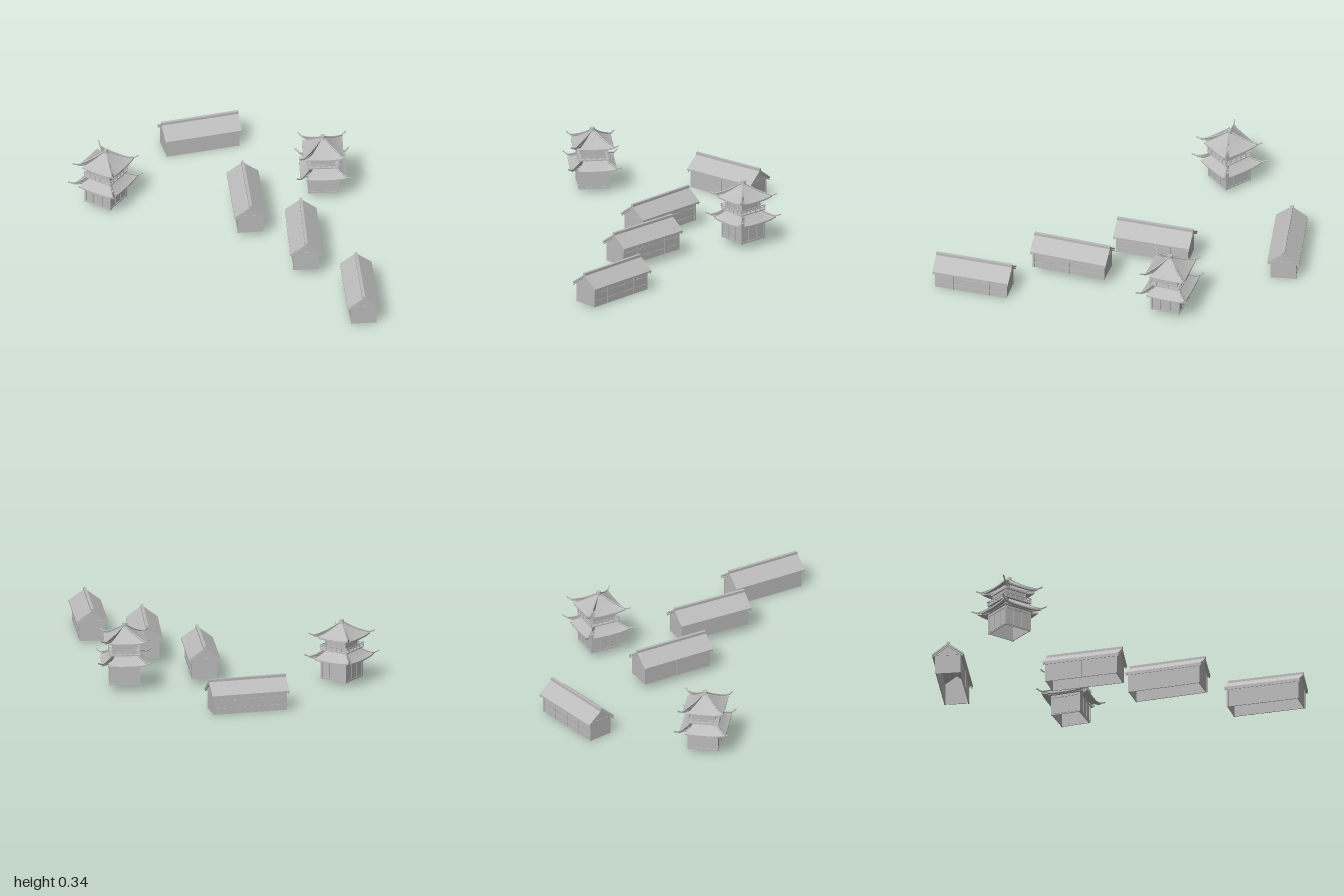
import * as THREE from 'three';

const stone = new THREE.MeshStandardMaterial({ color: 0xbcbcbc, side: THREE.DoubleSide, flatShading: true });
stone.name = 'plain grey';

function add(parent, name, geometry, x = 0, y = 0, z = 0) {
  const m = new THREE.Mesh(geometry, stone);
  m.name = name;
  m.position.set(x, y, z);
  parent.add(m);
  return m;
}
const box = (p, name, w, h, d, x, y, z) => add(p, name, new THREE.BoxGeometry(w, h, d), x, y, z);

function extrude(points, depth) {
  const shape = new THREE.Shape(points.map(([x, y]) => new THREE.Vector2(x, y)));
  return new THREE.ExtrudeGeometry(shape, { depth, bevelEnabled: false }).translate(0, 0, -depth / 2);
}

// Long gabled hall, running along z, with an open underside
function createHall(length) {
  const g = new THREE.Group();
  const L = length - 0.025, w = 0.065, wallTop = 0.112;
  for (const s of [-1, 1]) {
    box(g, 'longWall', 0.005, wallTop, L, s * (w - 0.0025), wallTop / 2, 0);
    add(g, 'gableWall', extrude([[-w, 0], [w, 0], [w, wallTop], [0, 0.16], [-w, wallTop]], 0.005), 0, 0, s * (L / 2 - 0.0025));
    box(g, 'wallPlate', 0.006, 0.008, L, s * w, 0.1, 0);
    box(g, 'gableBeam', 2 * w, 0.006, 0.004, 0, 0.104, s * L / 2);
    for (const e of [-1, 1]) box(g, 'cornerPost', 0.008, wallTop - 0.004, 0.008, s * (w - 0.002), wallTop / 2 - 0.002, e * (L / 2 - 0.002));
    // bargeboards following the roof slope
    add(g, 'bargeboard', extrude([[-0.08, 0.096], [0, 0.156], [0.08, 0.096], [0.08, 0.088], [0, 0.147], [-0.08, 0.088]], 0.005), 0, 0, s * (length / 2 - 0.004));
  }
  // framed bays along one side
  for (const f of [-0.25, 0, 0.25]) box(g, 'bayPost', 0.005, 0.1, 0.006, w, 0.05, f * L);
  box(g, 'sill', 0.005, 0.005, L, w, 0.03, 0);
  box(g, 'middleRail', 0.005, 0.005, L, w, 0.072, 0);
  box(g, 'backPost', 0.005, 0.1, 0.006, -w, 0.05, 0);
  add(g, 'roof', extrude([[-0.083, 0.106], [0, 0.167], [0.083, 0.106], [0.083, 0.097], [0, 0.157], [-0.083, 0.097]], length));
  box(g, 'ridge', 0.015, 0.016, length, 0, 0.167, 0);
  return g;
}

// Square, sweeping roof with lifted corners: top surface, rim, then underside
function sweptRoof(eave, top, y0, y1, lift) {
  const n = 8, rings = [], pos = [], idx = [];
  for (let i = 0; i <= 6; i++) {
    const t = i / 6;
    rings.unshift([eave + (top - eave) * t, y0 + (y1 - y0) * (0.7 * t + 0.3 * t * t), lift * (1 - t) ** 2]);
  }
  rings.push([eave, y0 - 0.008, lift], [eave - 0.01, y0 - 0.009, lift * 0.8], [eave * 0.55, y0 + (y1 - y0) * 0.2, 0]);
  for (const [r, y, up] of rings) {
    for (let k = 0; k < 4 * n; k++) {
      const u = (k % n) / n * 2 - 1, a = Math.floor(k / n) * Math.PI / 2;
      pos.push(r * (Math.cos(a) + u * Math.sin(a)), y + up * Math.abs(u) ** 3, r * (u * Math.cos(a) - Math.sin(a)));
    }
  }
  const m = 4 * n;
  for (let j = 0; j < rings.length - 1; j++) {
    for (let k = 0; k < m; k++) {
      const a = j * m + k, b = j * m + (k + 1) % m;
      idx.push(a, a + m, b, b, a + m, b + m);
    }
  }
  // reverse the winding so the faces point outward
  for (let i = 0; i < idx.length; i += 3) [idx[i + 1], idx[i + 2]] = [idx[i + 2], idx[i + 1]];
  const geo = new THREE.BufferGeometry();
  geo.setAttribute('position', new THREE.Float32BufferAttribute(pos, 3));
  geo.setIndex(idx);
  const flat = geo.toNonIndexed();
  flat.computeVertexNormals();
  return flat;
}

function addRoof(g, name, eave, top, y0, y1, lift, tip) {
  add(g, name, sweptRoof(eave, top, y0, y1, lift));
  for (let i = 0; i < 4; i++) {
    const a = Math.PI / 4 + i * Math.PI / 2, pts = [];
    for (let j = 0; j <= 4; j++) {
      const t = 1 - j / 4, r = eave + (top - eave) * t;
      pts.push([r * Math.SQRT2, y0 + (y1 - y0) * (0.7 * t + 0.3 * t * t) + lift * (1 - t) ** 2 + 0.002]);
    }
    pts.push([tip, y0 + lift + 0.012]);
    const curve = new THREE.CatmullRomCurve3(pts.map(([r, y]) => new THREE.Vector3(r * Math.cos(a), y, r * Math.sin(a))));
    add(g, 'hipRidge', new THREE.TubeGeometry(curve, 14, 0.004, 5));
  }
}

// Two-storey square pavilion
function createPavilion() {
  const g = new THREE.Group();
  const lower = 0.077, upper = 0.06, rail = 0.079;
  for (let i = 0; i < 4; i++) {
    const side = new THREE.Group();
    side.name = 'pavilionSide';
    side.rotation.y = i * Math.PI / 2;
    g.add(side);
    box(side, 'lowerWall', 2 * lower, 0.128, 0.005, 0, 0.064, lower - 0.0025);
    box(side, 'lowerPost', 0.01, 0.125, 0.01, lower - 0.002, 0.0625, lower - 0.002);
    box(side, 'lowerBeam', 2 * lower, 0.008, 0.008, 0, 0.1, lower);
    box(side, 'sill', 2 * lower, 0.006, 0.006, 0, 0.008, lower);
    for (const s of [-1, 1]) box(side, 'doorPost', 0.005, 0.095, 0.006, s * 0.026, 0.05, lower);
    box(side, 'bracketBeam', 2 * lower + 0.02, 0.01, 0.012, 0, 0.115, lower + 0.008);
    box(side, 'upperWall', 2 * upper, 0.08, 0.005, 0, 0.19, upper - 0.0025);
    box(side, 'upperPost', 0.008, 0.08, 0.008, upper - 0.001, 0.19, upper - 0.001);
    box(side, 'upperBeam', 2 * upper + 0.012, 0.008, 0.01, 0, 0.218, upper + 0.004);
    // balcony railing
    for (const y of [0.174, 0.184]) box(side, 'rail', 2 * rail + 0.012, 0.003, 0.003, 0, y, rail);
    for (let k = 0; k < 5; k++) box(side, 'railPost', 0.004, k ? 0.024 : 0.03, 0.004, (k / 2.5 - 1) * rail, 0.174, rail);
  }
  box(g, 'balconyFloor', 0.164, 0.006, 0.164, 0, 0.16, 0);
  addRoof(g, 'lowerRoof', 0.121, 0.066, 0.112, 0.158, 0.012, 0.198);
  addRoof(g, 'upperRoof', 0.106, 0.008, 0.228, 0.298, 0.01, 0.175);
  add(g, 'finial', new THREE.CylinderGeometry(0.012, 0.014, 0.02, 10), 0, 0.304, 0);
  return g;
}

export function createModel() {
  const model = new THREE.Group();
  model.name = 'village';
  const place = (part, name, x, y, z, degrees) => {
    part.name = name;
    part.position.set(x, y, z);
    part.rotation.y = THREE.MathUtils.degToRad(degrees);
    model.add(part);
  };
  place(createHall(0.408), 'frontHall', 0.214, 0.004, 0.772, -22);
  place(createHall(0.412), 'middleHall', 0.159, 0.04, 0.252, -24);
  place(createHall(0.41), 'innerHall', 0.061, 0.031, -0.193, -22);
  place(createHall(0.413), 'rearHall', 0.148, 0, -0.875, 77);
  place(createPavilion(), 'rightPavilion', -0.526, 0.019, -0.65, 29.3);
  place(createPavilion(), 'leftPavilion', 0.522, 0.031, -0.216, 64.4);
  return model;
}
